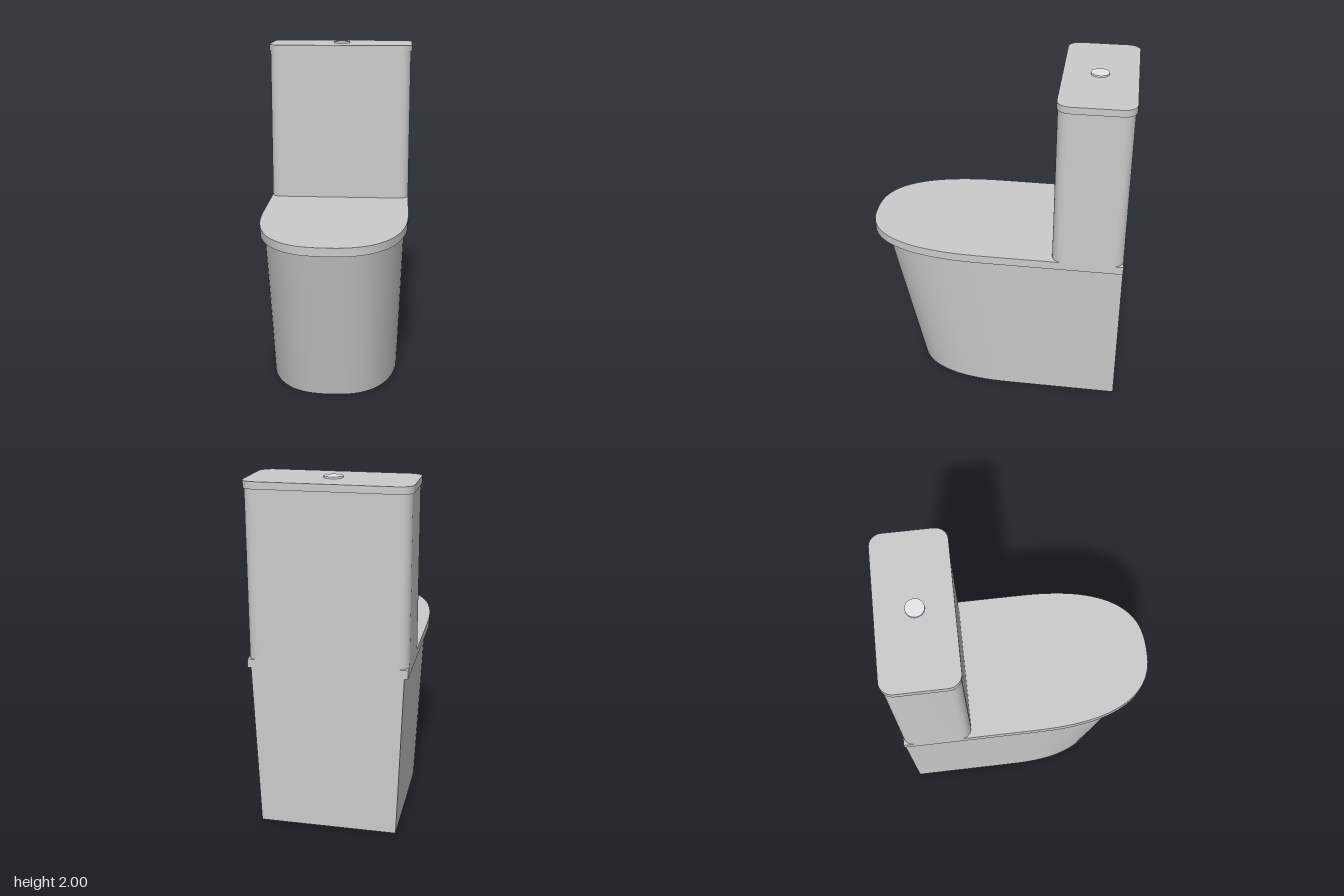
import * as THREE from 'three';
import { toCreasedNormals } from 'three/addons/utils/BufferGeometryUtils.js';

const BACK = -0.775, FRONT = 0.78, HALF = 0.45;

// Plan outlines are drawn with shape y = -z
function bowlOutline() {
  const pts = [new THREE.Vector2(-HALF, -BACK), new THREE.Vector2(-HALF, 0)];
  const n = 48, p = 2 / 2.55;
  for (let i = 1; i <= n; i++) {
    const a = Math.PI * (1 - i / n), c = Math.cos(a);
    pts.push(new THREE.Vector2(
      HALF * Math.sign(c) * Math.abs(c) ** p,
      -FRONT * Math.max(0, Math.sin(a)) ** p));
  }
  pts.push(new THREE.Vector2(HALF, -BACK));
  return new THREE.Shape(pts);
}

function roundedRect(halfW, z0, z1, r) {
  const s = new THREE.Shape(), q = Math.PI / 2;
  s.absarc(halfW - r, -z0 - r, r, 0, q);
  s.absarc(-halfW + r, -z0 - r, r, q, 2 * q);
  s.absarc(-halfW + r, -z1 + r, r, 2 * q, 3 * q);
  s.absarc(halfW - r, -z1 + r, r, 3 * q, 4 * q);
  s.closePath();
  return s;
}

// Upright slab from a plan outline between two heights
function slab(shape, y0, y1) {
  const g = new THREE.ExtrudeGeometry(shape, { depth: y1 - y0, bevelEnabled: false, curveSegments: 10 });
  g.rotateX(-Math.PI / 2);
  g.translate(0, y0, 0);
  return g;
}

export function createModel() {
  const group = new THREE.Group();
  const grey = new THREE.MeshStandardMaterial({ color: 0xcccccc });
  const add = (name, geometry, material = grey) => {
    const mesh = new THREE.Mesh(toCreasedNormals(geometry, 0.6), material);
    mesh.name = name;
    group.add(mesh);
  };

  // Pedestal: narrows towards the floor, back stays vertical
  const base = slab(bowlOutline(), 0, 0.95);
  const pos = base.attributes.position;
  for (let i = 0; i < pos.count; i++) {
    const t = pos.getY(i) / 0.95;
    const sx = THREE.MathUtils.lerp(0.395, 0.43, t) / HALF;
    const sz = THREE.MathUtils.lerp(1.275, 1.485, t) / (FRONT - BACK);
    pos.setX(i, pos.getX(i) * sx);
    pos.setZ(i, BACK + (pos.getZ(i) - BACK) * sz);
  }
  add('pedestal', base);

  // Seat lid
  add('seatLid', slab(bowlOutline(), 0.95, 1.0));

  // Cistern with its cover
  add('tank', slab(roundedRect(0.45, -0.775, -0.36, 0.065), 0.99, 1.95));
  add('tankCover', slab(roundedRect(0.458, -0.783, -0.355, 0.075), 1.95, 1.99));

  // Flush button
  const button = new THREE.CylinderGeometry(0.053, 0.053, 0.02, 40);
  button.translate(0, 1.99, -0.565);
  add('flushButton', button, new THREE.MeshStandardMaterial({ color: 0xe6e8ec }));

  return group;
}
